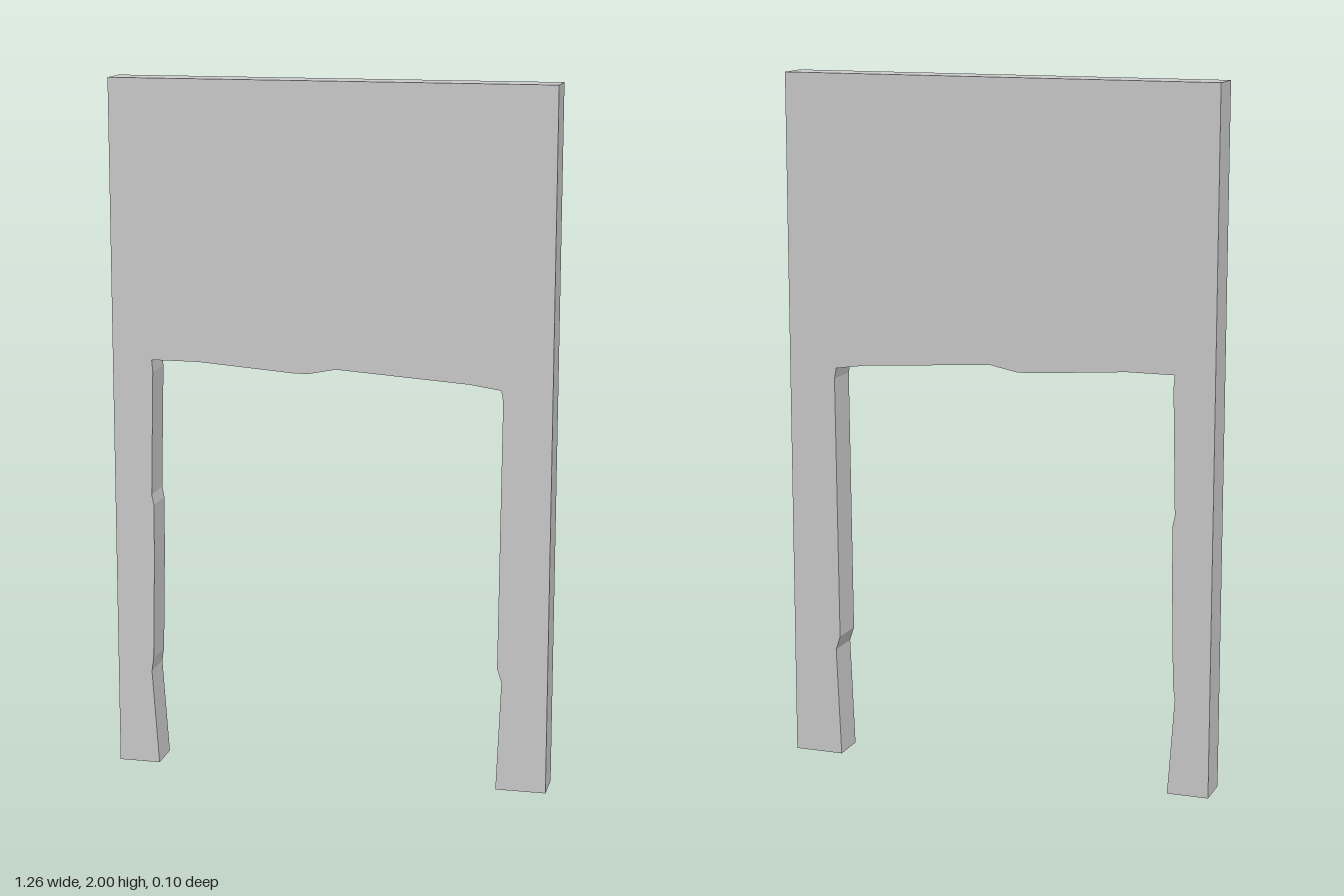
import * as THREE from 'three';

const HALF_WIDTH = 0.632, HEIGHT = 2, DEPTH = 0.104;

// Rough edge of the doorway, from the foot of the -x jamb over the lintel to the foot of the +x jamb
const OPENING = [
  [-0.512, 0], [-0.531, 0.28], [-0.525, 0.32], [-0.518, 0.62], [-0.517, 0.78], [-0.523, 0.81], [-0.514, 1.17], [-0.517, 1.205],
  [-0.38, 1.205], [-0.1, 1.184], [-0.06, 1.184], [0.02, 1.2], [0.4, 1.174], [0.488, 1.161],
  [0.494, 1.13], [0.488, 0.36], [0.501, 0.32], [0.488, 0],
];

export function createModel() {
  const group = new THREE.Group();
  group.name = 'wallWithDoorway';

  // Flat slab with straight outer sides and an uneven doorway open at the floor
  const outline = [
    ...OPENING,
    [HALF_WIDTH, 0], [HALF_WIDTH, HEIGHT], [-HALF_WIDTH, HEIGHT], [-HALF_WIDTH, 0],
  ].map(([x, y]) => new THREE.Vector2(x, y));

  const geometry = new THREE.ExtrudeGeometry(new THREE.Shape(outline), { depth: DEPTH, bevelEnabled: false });
  geometry.translate(0, 0, -DEPTH / 2);

  const wall = new THREE.Mesh(geometry, new THREE.MeshStandardMaterial({ color: 0xcccccc, flatShading: true }));
  wall.name = 'wall';
  group.add(wall);
  return group;
}
